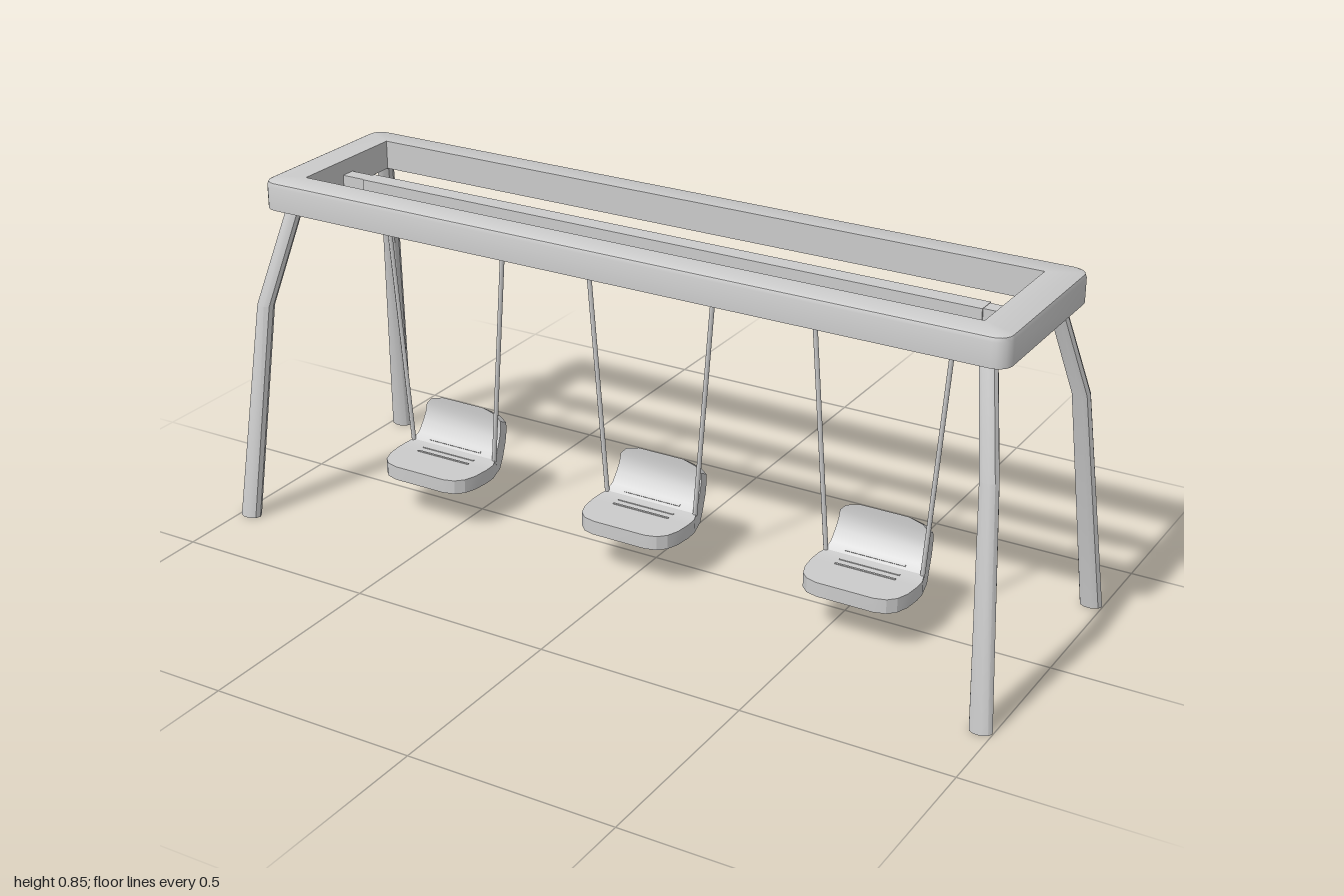
import * as THREE from 'three';
import { toCreasedNormals } from 'three/addons/utils/BufferGeometryUtils.js';

const material = new THREE.MeshStandardMaterial({ color: 0xcccccc });

function addMesh(parent, name, geometry) {
  const mesh = new THREE.Mesh(geometry, material);
  mesh.name = name;
  parent.add(mesh);
  return mesh;
}

// Skin a list of equal-sized rings; either capped at the ends or closed into a loop
function loft(rings, closed = false, crease = 0.6) {
  const n = rings[0].length;
  const points = rings.flat();
  const faces = [];
  const spans = closed ? rings.length : rings.length - 1;
  for (let r = 0; r < spans; r++) {
    const s = (r + 1) % rings.length;
    for (let i = 0; i < n; i++) {
      const j = (i + 1) % n;
      faces.push([r * n + i, r * n + j, s * n + j], [r * n + i, s * n + j, s * n + i]);
    }
  }
  if (!closed) {
    const last = (rings.length - 1) * n;
    for (let i = 1; i < n - 1; i++) {
      faces.push([0, i + 1, i], [last, last + i, last + i + 1]);
    }
  }
  // Turn every face outward, whichever way the rings run
  const cross = new THREE.Vector3();
  let volume = 0;
  for (const [a, b, c] of faces) volume += points[a].dot(cross.crossVectors(points[b], points[c]));
  if (volume < 0) faces.forEach((f) => f.reverse());
  const geometry = new THREE.BufferGeometry().setFromPoints(points);
  geometry.setIndex(faces.flat());
  return toCreasedNormals(geometry, crease);
}

// Horizontal rounded rectangle
function roundedRing(hx, hz, radius, y, steps = 5) {
  const ring = [];
  [[1, 1], [-1, 1], [-1, -1], [1, -1]].forEach(([sx, sz], corner) => {
    for (let i = 0; i <= steps; i++) {
      const a = (corner + i / steps) * Math.PI / 2;
      ring.push(new THREE.Vector3(
        sx * (hx - radius) + radius * Math.cos(a), y,
        sz * (hz - radius) + radius * Math.sin(a)));
    }
  });
  return ring;
}

// Horizontal ellipse with few sides
function ellipseRing(x, y, z, rx, rz, sides = 10) {
  return Array.from({ length: sides }, (_, i) => {
    const a = (i / sides) * Math.PI * 2;
    return new THREE.Vector3(x + rx * Math.cos(a), y, z + rz * Math.sin(a));
  });
}

// Seat shell, front edge to backrest top: [half width, under z, under y, upper z, upper y]
const SEAT = [
  [0.070, 0.146, 0.105, 0.146, 0.140],
  [0.098, 0.138, 0.105, 0.138, 0.140],
  [0.116, 0.120, 0.105, 0.120, 0.140],
  [0.127, 0.090, 0.105, 0.090, 0.140],
  [0.131, 0.050, 0.105, 0.050, 0.140],
  [0.130, 0.020, 0.105, 0.020, 0.140],
  [0.123, -0.020, 0.113, 0.000, 0.144],
  [0.117, -0.042, 0.132, -0.018, 0.158],
  [0.114, -0.060, 0.168, -0.034, 0.185],
  [0.112, -0.069, 0.198, -0.043, 0.205],
  [0.110, -0.070, 0.215, -0.046, 0.227],
  [0.095, -0.070, 0.228, -0.046, 0.242],
  [0.060, -0.070, 0.237, -0.046, 0.252],
];

function createSwing(x) {
  const swing = new THREE.Group();
  swing.name = 'swing';
  swing.position.x = x;

  const rings = SEAT.map(([w, uz, uy, tz, ty]) => [
    new THREE.Vector3(-w, uy, uz), new THREE.Vector3(w, uy, uz),
    new THREE.Vector3(w, ty, tz), new THREE.Vector3(-w, ty, tz),
  ]);
  addMesh(swing, 'seat', loft(rings, false, 0.4));

  // Narrow grip ribs across the rear of the seat
  for (const [y, z, tilt] of [[0.140, 0.045, 0], [0.140, 0.022, 0], [0.150, -0.008, 0.65]]) {
    const rib = addMesh(swing, 'seatRib', new THREE.BoxGeometry(0.15, 0.004, 0.005));
    rib.position.set(0, y, z);
    rib.rotation.x = tilt;
  }

  // Ropes spread slightly toward the beam
  for (const side of [-1, 1]) {
    const rope = new THREE.LineCurve3(
      new THREE.Vector3(side * 0.119, 0.128, 0.000),
      new THREE.Vector3(side * 0.171, 0.790, 0.003));
    addMesh(swing, 'rope', new THREE.TubeGeometry(rope, 1, 0.0055, 6));
  }
  return swing;
}

export function createModel() {
  const model = new THREE.Group();
  model.name = 'swingSet';

  // Rectangular top frame with rounded corners and a softened upper edge
  addMesh(model, 'topFrame', loft([
    roundedRing(0.942, 0.226, 0.035, 0.777),
    roundedRing(0.942, 0.226, 0.035, 0.834),
    roundedRing(0.939, 0.223, 0.033, 0.843),
    roundedRing(0.931, 0.215, 0.028, 0.847),
    roundedRing(0.862, 0.158, 0, 0.847),
    roundedRing(0.862, 0.158, 0, 0.777),
  ], true));

  // Middle beam that carries the swings, with slimmer ends
  addMesh(model, 'swingBeam', new THREE.BoxGeometry(1.6, 0.036, 0.045)).position.y = 0.794;
  addMesh(model, 'beamEnds', new THREE.BoxGeometry(1.73, 0.034, 0.036)).position.y = 0.794;

  // Four bent, splayed legs
  for (const sx of [-1, 1]) {
    for (const sz of [-1, 1]) {
      addMesh(model, 'leg', loft([
        ellipseRing(sx * 0.972, 0, sz * 0.313, 0.027, 0.020),
        ellipseRing(sx * 0.931, 0.545, sz * 0.251, 0.022, 0.019),
        ellipseRing(sx * 0.883, 0.780, sz * 0.177, 0.021, 0.018),
      ]));
    }
  }

  for (const x of [-0.58, -0.015, 0.567]) model.add(createSwing(x));
  return model;
}
